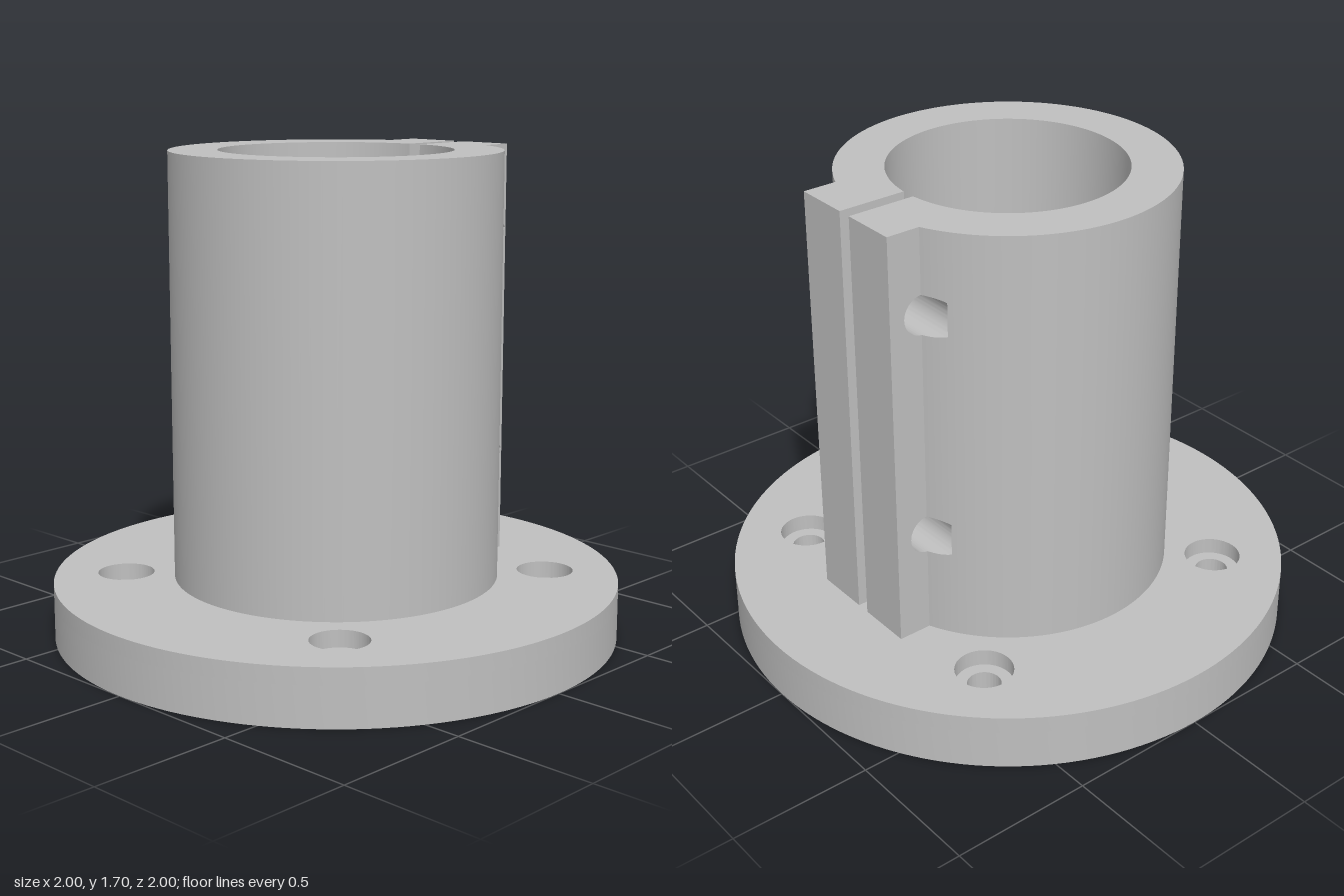
import * as THREE from 'three';
import { toCreasedNormals, mergeGeometries } from 'three/addons/utils/BufferGeometryUtils.js';

const R = 0.575, BORE = 0.405;             // tube radii
const BASE = 0.2, TOP = 1.7;               // tube bottom and top
const EAR_X = 0.65, EAR_Z = 0.225, SLIT = 0.025;
const BOLT_X = 0.525, BOLT_R = 0.07, BOLT_YS = [0.58, 1.4];
const HEX_H = 0.105, HEX_R = HEX_H / Math.cos(Math.PI / 6), HEX_FLOOR = 0.205;
const CUT_Z = 0.305;                       // how far the bolt seats reach
const onCircle = (r, d) => Math.sqrt(r * r - d * d);
const EAR_ROOT = onCircle(R, EAR_Z), CUT_X = onCircle(R, CUT_Z), SLIT_X = onCircle(BORE, SLIT);

const metal = new THREE.MeshStandardMaterial({ color: 0xbfbfbf, side: THREE.DoubleSide });
metal.name = 'greyMetal';

// Quads between two rows of points
function ribbon(a, b) {
  const pos = [], n = new THREE.Vector3();
  const tri = (...t) => {
    new THREE.Triangle(...t).getNormal(n);
    if (n.lengthSq() > 0.5) t.forEach(p => pos.push(p.x, p.y, p.z));
  };
  for (let i = 0; i + 1 < a.length; i++) {
    tri(a[i], a[i + 1], b[i + 1]);
    tri(a[i], b[i + 1], b[i]);
  }
  const g = new THREE.BufferGeometry();
  g.setAttribute('position', new THREE.Float32BufferAttribute(pos, 3));
  return toCreasedNormals(g, 0.5);
}

const circlePath = (x, y, r) => new THREE.Path().absarc(x, y, r, 0, Math.PI * 2, false);

// Half height of each opening at x
const hexHalf = x => Math.max(0, Math.min(HEX_H, (HEX_R - Math.abs(x - BOLT_X)) * Math.sqrt(3)));
const roundHalf = x => Math.sqrt(Math.max(0, BOLT_R ** 2 - (x - BOLT_X) ** 2));

// Distance of the outer surface from the slit plane, limited to the seat depth
const outerZ = x => (x >= EAR_ROOT ? EAR_Z : onCircle(R, Math.max(x, CUT_X)));

// Sample positions across an opening of half width w
function samples(w) {
  const xs = [CUT_X, EAR_ROOT, EAR_X];
  for (let i = 0; i <= 36; i++) xs.push(BOLT_X - w * Math.cos(Math.PI * i / 36));
  for (let i = 1; i < 8; i++) xs.push(CUT_X + (EAR_ROOT - CUT_X) * i / 8);
  return xs.sort((p, q) => p - q);
}

// Points round an opening: top edge rightwards, bottom edge back
function rim(half, w, y) {
  const xs = samples(w).filter(x => Math.abs(x - BOLT_X) <= w + 1e-9);
  return [...xs.map(x => [x, y + half(x)]), ...xs.reverse().map(x => [x, y - half(x)])];
}
const wall = (pts, z0, z1) => ribbon(
  pts.map(([x, y]) => new THREE.Vector3(x, y, z0(x))),
  pts.map(([x, y]) => new THREE.Vector3(x, y, z1(x))));

// Outer skin of one clamp side, with its two openings
function clampSkin(side, half, w) {
  const xs = samples(w).filter(x => x >= CUT_X - 1e-9);
  const row = (y, k) => xs.map(x => new THREE.Vector3(x, y + k * half(x), side * outerZ(x)));
  const [y0, y1] = BOLT_YS;
  const bands = [[row(BASE, 0), row(y0, -1)], [row(y0, 1), row(y1, -1)], [row(y1, 1), row(TOP, 0)]];
  return mergeGeometries(bands.map(([a, b]) => (side > 0 ? ribbon(a, b) : ribbon(b, a))));
}

// Flat end of the undercut beneath the tube wall
function seatEnd(half, w, y, z) {
  const xs = samples(w).filter(x => x <= CUT_X + 1e-9);
  return ribbon(xs.map(x => new THREE.Vector3(x, y + half(x), z)),
    xs.map(x => new THREE.Vector3(x, y - half(x), z)));
}

export function createModel() {
  const model = new THREE.Group();
  const add = (name, geometry) => {
    const mesh = new THREE.Mesh(geometry, metal);
    mesh.name = name;
    model.add(mesh);
    return mesh;
  };

  // Round flange in two layers: screw holes below, counterbores above
  const layer = (name, y, h, r) => {
    const disc = new THREE.Shape().absarc(0, 0, 1, 0, Math.PI * 2, false);
    for (const x of [-0.53, 0.53]) for (const z of [-0.53, 0.53]) disc.holes.push(circlePath(x, z, r));
    const g = new THREE.ExtrudeGeometry(disc, { depth: h, bevelEnabled: false, curveSegments: 72 });
    g.rotateX(-Math.PI / 2).translate(0, y, 0);
    add(name, toCreasedNormals(g, 0.5));
  };
  layer('flangeBottom', 0, 0.14, 0.058);
  layer('flangeTop', 0.14, 0.06, 0.1);

  // Tube walls, open where the clamp sits
  const tube = (name, r, a) => add(name, new THREE.CylinderGeometry(
    r, r, TOP - BASE, 96, 1, true, Math.PI / 2 + a, 2 * Math.PI - 2 * a)).position.y = (TOP + BASE) / 2;
  tube('tubeOuterWall', R, Math.asin(CUT_Z / R));
  tube('tubeBore', BORE, Math.asin(SLIT / BORE));

  // Top rim following the tube and both ears
  const ear = Math.asin(EAR_Z / R), slit = Math.asin(SLIT / BORE);
  const profile = new THREE.Shape();
  profile.moveTo(SLIT_X, SLIT);
  profile.lineTo(EAR_X, SLIT);
  profile.lineTo(EAR_X, EAR_Z);
  profile.lineTo(EAR_ROOT, EAR_Z);
  profile.absarc(0, 0, R, ear, 2 * Math.PI - ear, false);
  profile.lineTo(EAR_X, -EAR_Z);
  profile.lineTo(EAR_X, -SLIT);
  profile.lineTo(SLIT_X, -SLIT);
  profile.absarc(0, 0, BORE, 2 * Math.PI - slit, slit, true);
  add('topRim', new THREE.ShapeGeometry(profile, 96).rotateX(-Math.PI / 2).translate(0, TOP, 0));

  // Clamp ears: hex nut seats at the front, round bolt seats at the back
  for (const side of [1, -1]) {
    const label = side > 0 ? 'front' : 'back';
    const half = side > 0 ? hexHalf : roundHalf, w = side > 0 ? HEX_R : BOLT_R;
    add(label + 'ClampSkin', clampSkin(side, half, w));
    add(label + 'EarEnd', new THREE.PlaneGeometry(EAR_Z - SLIT, TOP - BASE).rotateY(Math.PI / 2)
      .translate(EAR_X, (TOP + BASE) / 2, side * (EAR_Z + SLIT) / 2));

    const face = new THREE.Shape([[SLIT_X, BASE], [EAR_X, BASE], [EAR_X, TOP], [SLIT_X, TOP]]
      .map(p => new THREE.Vector2(...p)));
    BOLT_YS.forEach(y => face.holes.push(circlePath(BOLT_X, y, BOLT_R)));
    add(label + 'SlitFace', new THREE.ShapeGeometry(face, 36).translate(0, 0, side * SLIT));

    for (const y of BOLT_YS) {
      const outer = x => side * outerZ(x);
      const boltEnd = side > 0 ? () => HEX_FLOOR : outer;
      add(label + 'BoltHole', wall(rim(roundHalf, BOLT_R, y), () => side * SLIT, boltEnd));
      add(label + 'SeatEnd', seatEnd(half, w, y, side * CUT_Z));
      if (side < 0) continue;
      add('nutSeatWall', wall(rim(hexHalf, HEX_R, y), () => HEX_FLOOR, outer));
      const floor = new THREE.Shape(Array.from({ length: 6 }, (_, i) => new THREE.Vector2(
        BOLT_X + HEX_R * Math.cos(i * Math.PI / 3), y + HEX_R * Math.sin(i * Math.PI / 3))));
      floor.holes.push(circlePath(BOLT_X, y, BOLT_R));
      add('nutSeatFloor', new THREE.ShapeGeometry(floor, 36).translate(0, 0, HEX_FLOOR));
    }
  }
  return model;
}
